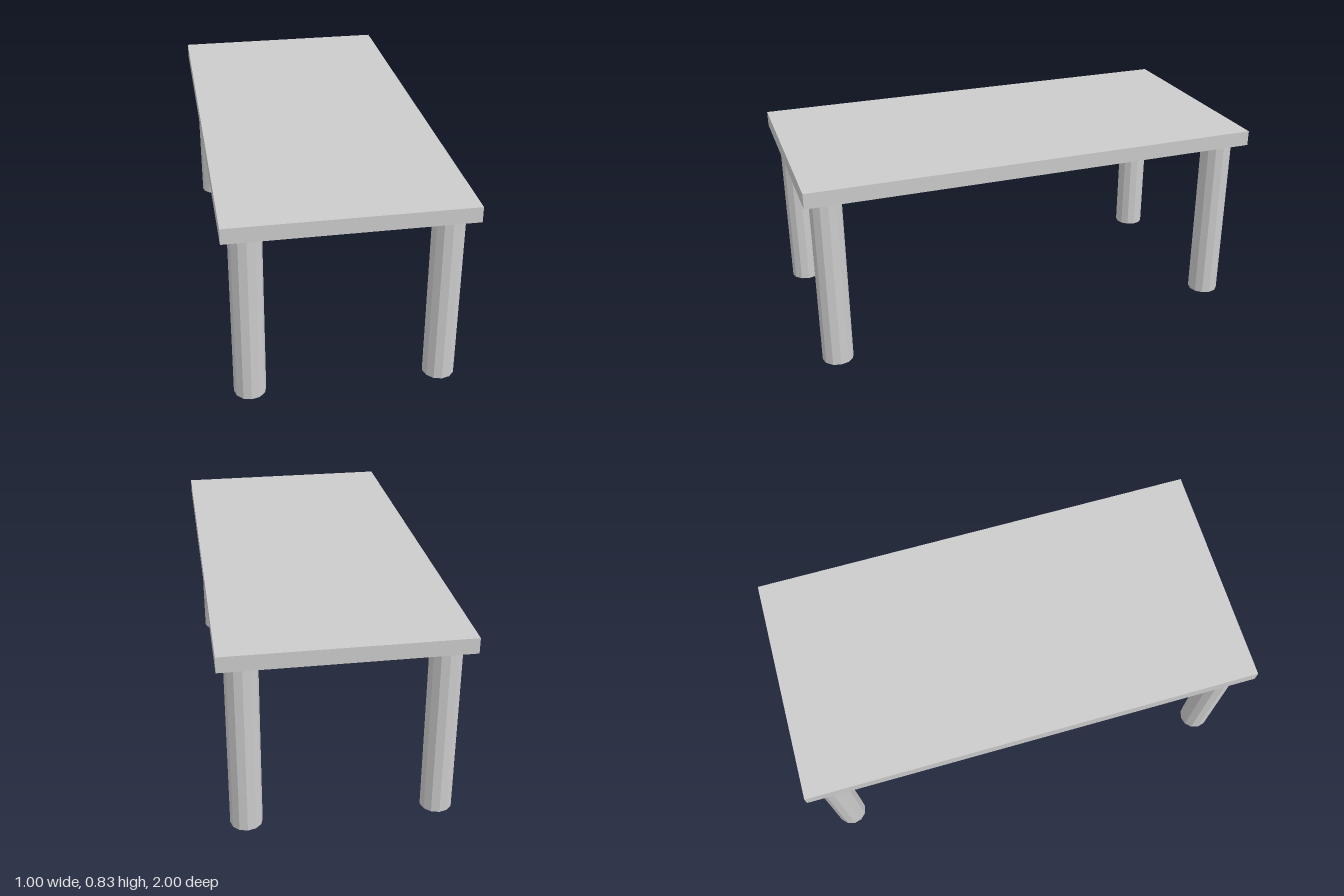
import * as THREE from 'three';

export function createModel() {
  const group = new THREE.Group();
  const material = new THREE.MeshStandardMaterial({ color: 0xcccccc, flatShading: true });
  const height = 0.83, thickness = 0.066, legHeight = height - thickness;

  // Flat slab top
  const top = new THREE.Mesh(new THREE.BoxGeometry(1, thickness, 2), material);
  top.name = 'tableTop';
  top.position.y = height - thickness / 2;
  group.add(top);

  // Four twelve-sided legs, one near each corner
  const legGeometry = new THREE.CylinderGeometry(0.067, 0.067, legHeight, 12);
  for (const [endName, z] of [['front', 0.9], ['back', -0.9]]) {
    for (const [sideName, x] of [['Left', 0.4], ['Right', -0.4]]) {
      const leg = new THREE.Mesh(legGeometry, material);
      leg.name = `${endName}${sideName}Leg`;
      leg.position.set(x, legHeight / 2, z);
      group.add(leg);
    }
  }
  return group;
}
